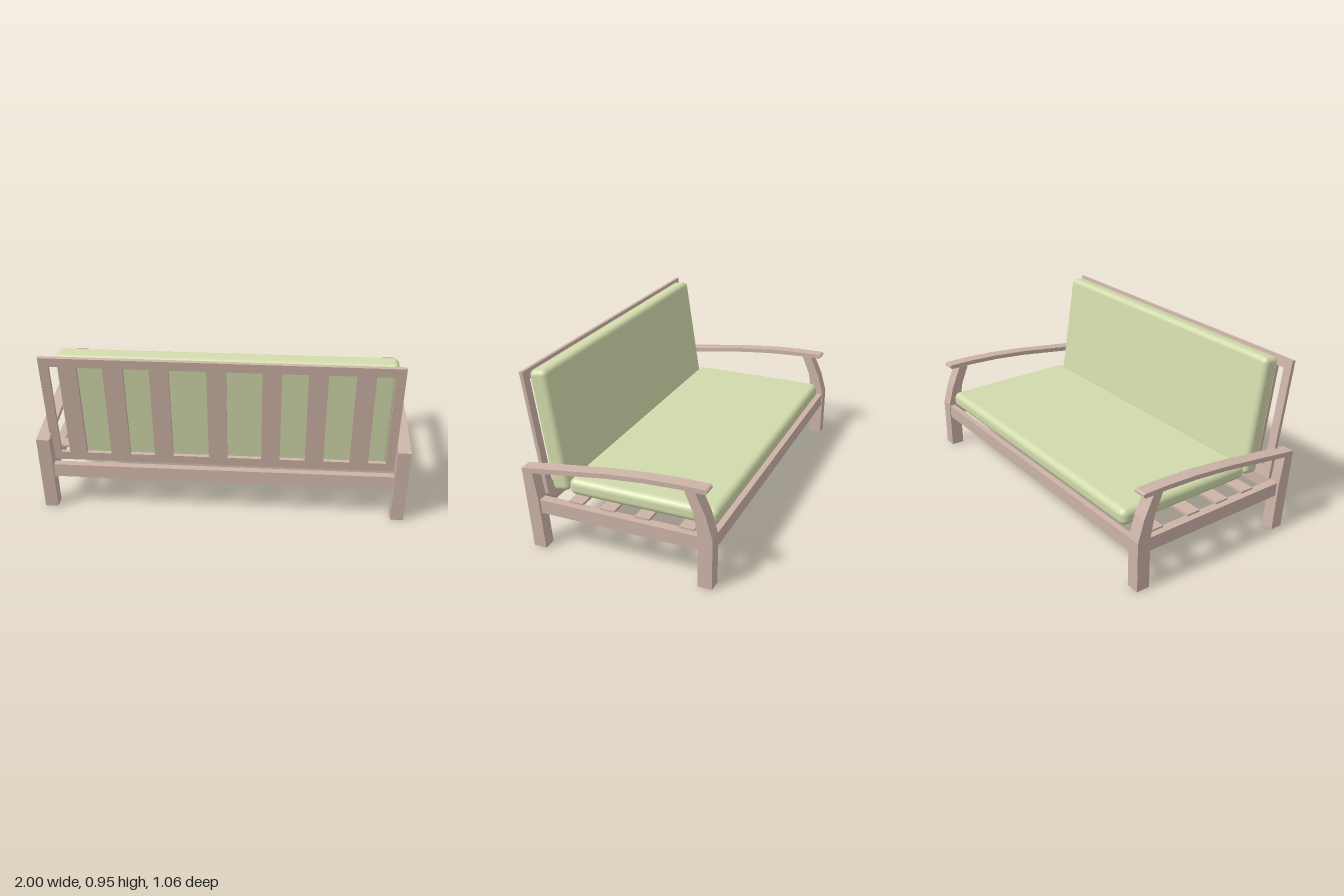
import * as THREE from 'three';
import { RoundedBoxGeometry } from 'three/addons/geometries/RoundedBoxGeometry.js';

const TILT = 0.152; // lean of the backrest

export function createModel() {
  const wood = new THREE.MeshStandardMaterial({ color: 0xccb3a7 });
  wood.name = 'pale wood';
  const fabric = new THREE.MeshStandardMaterial({ color: 0xd1daab });
  fabric.name = 'green fabric';

  const model = new THREE.Group();
  model.name = 'sofa';

  const add = (name, geometry, material, parent = model) => {
    const mesh = new THREE.Mesh(geometry, material);
    mesh.name = name;
    parent.add(mesh);
    return mesh;
  };

  // Box given by its limits on each axis
  const block = (name, x0, x1, y0, y1, z0, z1) =>
    add(name, new THREE.BoxGeometry(x1 - x0, y1 - y0, z1 - z0), wood)
      .position.set((x0 + x1) / 2, (y0 + y1) / 2, (z0 + z1) / 2);

  // Side profile of [z, y] points, extruded across x from x0 to x1
  const profile = (name, points, x0, x1) => {
    const shape = new THREE.Shape(points.map(([z, y]) => new THREE.Vector2(z, y)));
    const geometry = new THREE.ExtrudeGeometry(shape, { depth: x1 - x0, bevelEnabled: false });
    geometry.rotateY(-Math.PI / 2).translate(x1, 0, 0);
    add(name, geometry, wood);
  };

  const frontLeg = [[-0.53, 0], [-0.455, 0], [-0.455, 0.28], [-0.43, 0.41], [-0.383, 0.52],
    [-0.44, 0.52], [-0.495, 0.4], [-0.53, 0.28]];
  const backLeg = [[0.405, 0], [0.475, 0], [0.516, 0.45], [0.458, 0.442], [0.43, 0.275]];
  const armrest = [[0.516, 0.45], [0.3, 0.48], [0.03, 0.516], [-0.175, 0.535], [-0.35, 0.543],
    [-0.49, 0.543], [-0.5, 0.537], [-0.5, 0.525], [-0.49, 0.518], [-0.36, 0.518],
    [-0.17, 0.51], [0.03, 0.491], [0.25, 0.46], [0.458, 0.43], [0.514, 0.425]];

  // Legs, arms and side rails on both sides
  for (const [side, s] of [['left', 1], ['right', -1]]) {
    const span = (a, b) => (s > 0 ? [a, b] : [-b, -a]);
    profile(`${side} front leg`, frontLeg, ...span(0.926, 0.999));
    profile(`${side} back leg`, backLeg, ...span(0.928, 0.999));
    profile(`${side} armrest`, armrest, ...span(0.93, 1));
    block(`${side} side rail`, ...span(0.935, 0.985), 0.2, 0.275, -0.47, 0.45);
  }

  // Front and back rails
  block('front rail', -0.93, 0.93, 0.2, 0.275, -0.525, -0.493);
  block('back rail', -0.93, 0.93, 0.2, 0.275, 0.435, 0.475);

  // Seat slats
  for (const z of [-0.375, -0.135, 0.06, 0.24]) {
    block('seat slat', -0.95, 0.95, 0.27, 0.285, z - 0.04, z + 0.04);
  }

  // Leaning back frame with upright slats between its openings
  const backFrame = new THREE.Shape();
  const rectangle = (path, x0, x1, h) =>
    path.moveTo(x0, -h).lineTo(x1, -h).lineTo(x1, h).lineTo(x0, h).closePath();
  rectangle(backFrame, -0.94, 0.93, 0.333);
  const openings = [[-0.89, -0.84], [-0.745, -0.61], [-0.505, -0.37], [-0.27, -0.075],
    [0.025, 0.21], [0.31, 0.445], [0.545, 0.685], [0.785, 0.88]];
  for (const [x0, x1] of openings) {
    const hole = new THREE.Path();
    rectangle(hole, x0, x1, 0.281);
    backFrame.holes.push(hole);
  }
  const backGeometry = new THREE.ExtrudeGeometry(backFrame, { depth: 0.02, bevelEnabled: false });
  const back = add('back frame', backGeometry.translate(0, 0, -0.01), wood);
  back.position.set(0, 0.615, 0.471);
  back.rotation.x = TILT;

  // Cushions
  const seat = add('seat cushion', new RoundedBoxGeometry(1.757, 0.093, 0.825, 6, 0.036), fabric);
  seat.position.set(0.02, 0.331, -0.1);
  const backCushion = add('back cushion', new RoundedBoxGeometry(1.757, 0.662, 0.1, 6, 0.03), fabric);
  backCushion.position.set(0.02, 0.622, 0.405);
  backCushion.rotation.x = TILT;

  return model;
}
